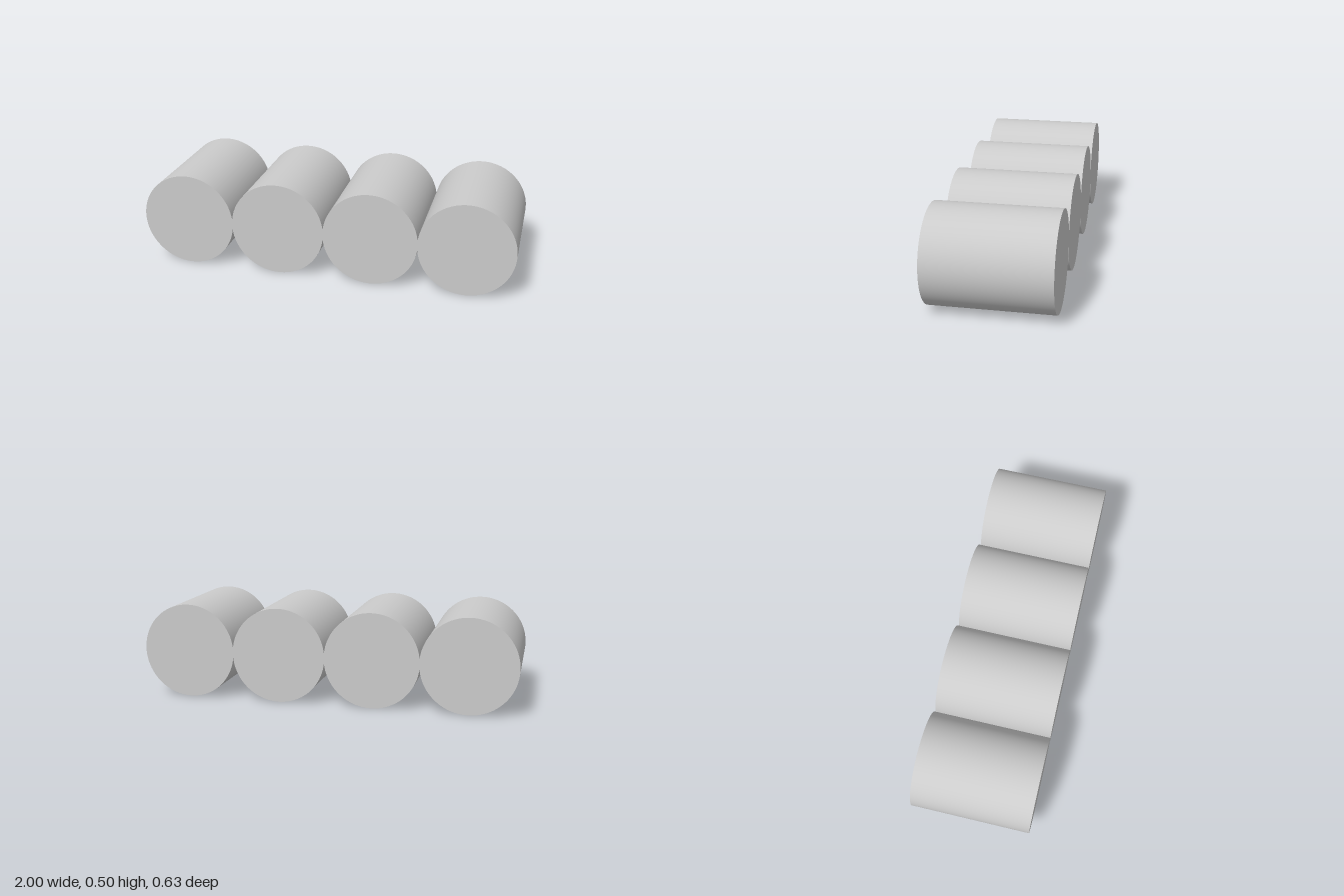
import * as THREE from 'three';

const COUNT = 4;
const RADIUS = 0.251;
const LENGTH = 0.626;
const SPACING = (2 - 2 * RADIUS) / (COUNT - 1);

export function createModel() {
  const group = new THREE.Group();
  group.name = 'cylinderRow';
  const material = new THREE.MeshStandardMaterial({ color: 0xcccccc });

  // One solid cylinder lying along z, shared by the whole row
  const geometry = new THREE.CylinderGeometry(RADIUS, RADIUS, LENGTH, 96);
  geometry.rotateX(Math.PI / 2);

  // Row of cylinders side by side along x, resting on the ground
  for (let i = 0; i < COUNT; i++) {
    const cylinder = new THREE.Mesh(geometry, material);
    cylinder.name = `cylinder${i + 1}`;
    cylinder.position.set((i - (COUNT - 1) / 2) * SPACING, RADIUS, 0);
    group.add(cylinder);
  }
  return group;
}
